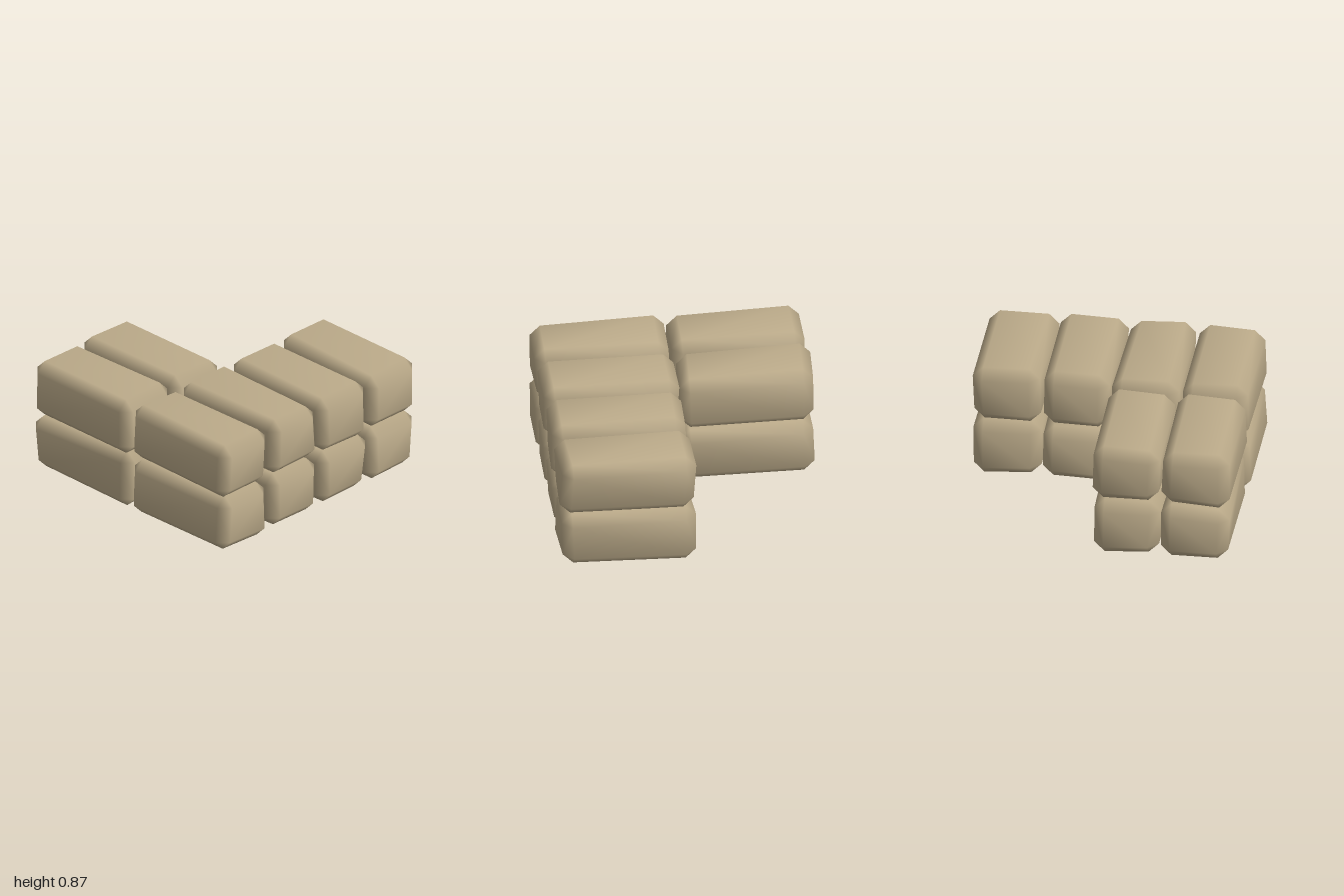
import * as THREE from 'three';

const HALF = [0.24, 0.209, 0.477]; // half width, height and length of a block
const BEVEL = 0.075;
const WOBBLE = 0.013;

function seeded(seed) {
  return () => {
    seed = (seed * 16807) % 2147483647;
    return seed / 2147483647;
  };
}

// Bevelled block: every corner is nudged a little and carries three vertices,
// one on each of the faces meeting there. Shared vertices keep it smooth.
function blockGeometry(random) {
  const points = [];
  for (let c = 0; c < 8; c++) {
    const sign = [0, 1, 2].map((a) => ((c >> a) & 1 ? 1 : -1));
    const corner = sign.map((s, a) => s * HALF[a] + (random() * 2 - 1) * WOBBLE);
    for (let face = 0; face < 3; face++) {
      points.push(new THREE.Vector3(
        ...corner.map((v, a) => (a === face ? v : v - sign[a] * BEVEL))));
    }
  }

  const index = [];
  const ab = new THREE.Vector3(), ac = new THREE.Vector3();
  const tri = (a, b, c) => {
    // turn the triangle so that it faces away from the block's centre
    ab.subVectors(points[b], points[a]);
    ac.subVectors(points[c], points[a]);
    if (ab.cross(ac).dot(points[a]) > 0) index.push(a, b, c);
    else index.push(a, c, b);
  };
  const quad = (a, b, c, d) => { tri(a, b, c); tri(a, c, d); };

  for (let axis = 0; axis < 3; axis++) {
    const u = (axis + 1) % 3, v = (axis + 2) % 3;
    const U = 1 << u, V = 1 << v, A = 1 << axis;
    // two main faces across this axis
    for (const c of [0, A]) {
      quad(c * 3 + axis, (c + U) * 3 + axis, (c + U + V) * 3 + axis, (c + V) * 3 + axis);
    }
    // four bevel strips along this axis
    for (const c of [0, U, V, U + V]) {
      quad(c * 3 + u, (c + A) * 3 + u, (c + A) * 3 + v, c * 3 + v);
    }
  }
  // corner triangles
  for (let c = 0; c < 8; c++) tri(c * 3, c * 3 + 1, c * 3 + 2);

  const geometry = new THREE.BufferGeometry().setFromPoints(points);
  geometry.setIndex(index);
  geometry.computeVertexNormals();
  return geometry;
}

export function createModel() {
  const model = new THREE.Group();
  model.name = 'blockStack';
  const sand = new THREE.MeshStandardMaterial({ color: 0xbcab8a });
  sand.name = 'sand';
  const random = seeded(4217);

  // Two layers, each with four blocks in front and two behind on the right
  const rows = [
    { name: 'frontBlock', z: 0.487, xs: [-0.745, -0.25, 0.25, 0.745] },
    { name: 'backBlock', z: -0.487, xs: [-0.745, -0.25] },
  ];
  [0.22, 0.646].forEach((y, layer) => {
    const group = new THREE.Group();
    group.name = layer ? 'upperLayer' : 'lowerLayer';
    for (const row of rows) {
      row.xs.forEach((x, i) => {
        const block = new THREE.Mesh(blockGeometry(random), sand);
        block.name = row.name + (i + 1);
        block.position.set(x, y, row.z);
        group.add(block);
      });
    }
    model.add(group);
  });
  return model;
}
